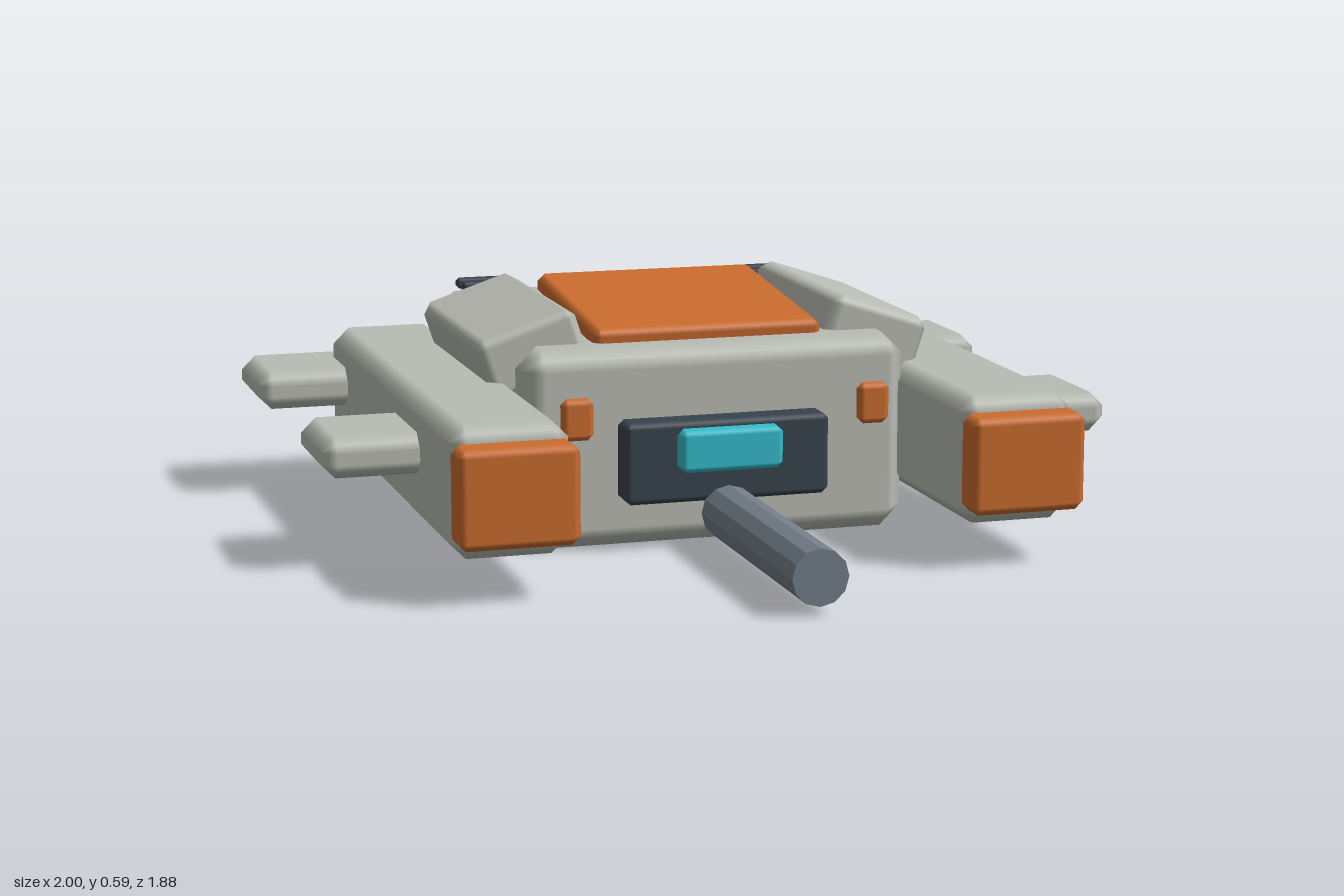
import * as THREE from 'three';

const mat = (name, color) => {
  const m = new THREE.MeshStandardMaterial({ color });
  m.name = name;
  return m;
};

// Box with 45 degree chamfers and softly blended normals
function chamferBox(w, h, d, r) {
  const g = new THREE.BoxGeometry(1, 1, 1, 3, 3, 3);
  const p = g.attributes.position, n = g.attributes.normal;
  const v = new THREE.Vector3(), dir = new THREE.Vector3();
  const outer = (c) => (Math.abs(c) > 0.4 ? Math.sign(c) : 0);
  for (let i = 0; i < p.count; i++) {
    v.fromBufferAttribute(p, i);
    dir.set(outer(v.x), outer(v.y), outer(v.z));
    const k = r / dir.manhattanLength();
    p.setXYZ(i,
      Math.sign(v.x) * (w / 2 - r) + dir.x * k,
      Math.sign(v.y) * (h / 2 - r) + dir.y * k,
      Math.sign(v.z) * (d / 2 - r) + dir.z * k);
    dir.normalize();
    n.setXYZ(i, dir.x, dir.y, dir.z);
  }
  return g;
}

export function createModel() {
  const model = new THREE.Group();
  model.name = 'hoverCraft';
  const hull = mat('hullGrey', 0xb9bcb3);
  const orange = mat('orange', 0xcb6c2e);
  const dark = mat('darkSlate', 0x37434d);
  const cyan = mat('cyan', 0x35bccb);
  const steel = mat('steel', 0x737e89);

  const add = (name, geometry, material, x, y, z) => {
    const mesh = new THREE.Mesh(geometry, material);
    mesh.name = name;
    mesh.position.set(x, y, z);
    model.add(mesh);
    return mesh;
  };
  // Box given by its minimum and maximum on each axis
  const block = (name, material, [x0, x1], [y0, y1], [z0, z1], r) =>
    add(name, chamferBox(x1 - x0, y1 - y0, z1 - z0, r), material,
      (x0 + x1) / 2, (y0 + y1) / 2, (z0 + z1) / 2);

  // Central hull, sensor panel and its lens
  block('body', hull, [-0.49, 0.49], [0, 0.495], [-0.86, 0.182], 0.052);
  block('sensorPanel', dark, [-0.26, 0.26], [0.12, 0.322], [0.15, 0.255], 0.015);
  block('sensorLens', cyan, [-0.13, 0.13], [0.2, 0.305], [0.225, 0.295], 0.015);

  // Sloping top hatch
  const hatch = add('hatch', chamferBox(0.585, 0.06, 0.585, 0.018), orange, 0, 0.528, -0.195);
  hatch.rotation.x = 0.1;

  // Nose barrel
  const barrel = add('barrel', new THREE.CylinderGeometry(0.068, 0.068, 0.69, 12).toNonIndexed(), steel, 0, 0.09, 0.595);
  barrel.geometry.computeVertexNormals();
  barrel.rotation.x = Math.PI / 2;

  for (const s of [1, -1]) {
    const side = s > 0 ? 'left' : 'right';
    const span = (a, b) => (s > 0 ? [a, b] : [-b, -a]);

    // Side pod with coloured nose cap
    block(side + 'Pod', hull, span(0.48, 0.767), [0.092, 0.408], [-0.86, 0.585], 0.042);
    block(side + 'PodCap', orange, span(0.478, 0.767), [0.133, 0.37], [0.567, 0.663], 0.02);

    // Front and rear fins
    block(side + 'FrontFin', hull, span(0.535, 1), [0.23, 0.33], [-0.058, 0.26], 0.036);
    block(side + 'RearFin', hull, span(0.535, 1), [0.23, 0.33], [-0.94, -0.624], 0.036);

    // Shoulder plate leaning outward
    const shoulder = add(side + 'Shoulder', chamferBox(0.262, 0.16, 0.635, 0.026), hull, s * 0.44, 0.472, -0.236);
    shoulder.rotation.z = -s * 0.32;

    // Front marker lamp
    block(side + 'Lamp', orange, span(0.337, 0.417), [0.288, 0.39], [0.217, 0.257], 0.015);

    // Cooling slats
    for (const z of [-0.71, -0.64, -0.57])
      block(side + 'Slat', dark, span(0.304, 0.454), [0.517, 0.545], [z - 0.015, z + 0.015], 0.008);

    // Rear exhaust disc
    const disc = add(side + 'Exhaust', new THREE.CylinderGeometry(0.07, 0.07, 0.04, 16), orange, s * 0.25, 0.25, -0.851);
    disc.rotation.x = Math.PI / 2;
  }
  return model;
}
